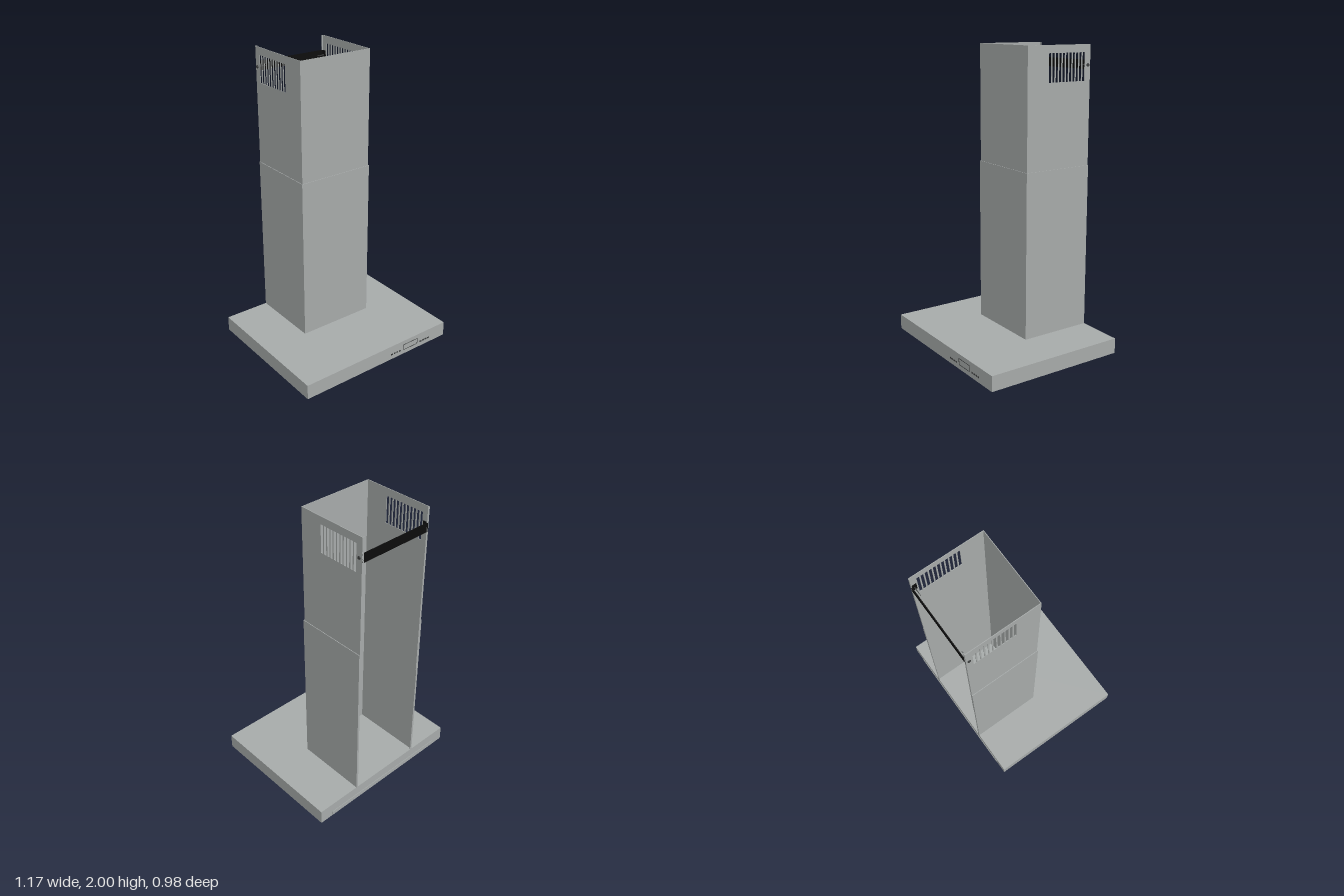
import * as THREE from 'three';

const steel = new THREE.MeshStandardMaterial({ color: 0xa6aaa9 });
steel.name = 'brushed steel';
const filterGrey = new THREE.MeshStandardMaterial({ color: 0x8f9392 });
filterGrey.name = 'filter grey';
const black = new THREE.MeshStandardMaterial({ color: 0x0c0c0c });
black.name = 'black';
const dark = new THREE.MeshStandardMaterial({ color: 0x3c3e3e });
dark.name = 'dark marking';

const BACK = -0.485;

function add(parent, name, geometry, material, x = 0, y = 0, z = 0) {
  const mesh = new THREE.Mesh(geometry, material);
  mesh.name = name;
  mesh.position.set(x, y, z);
  parent.add(mesh);
  return mesh;
}

// Box given by its limits on each axis
function block(parent, name, material, [x0, x1], [y0, y1], [z0, z1]) {
  return add(parent, name, new THREE.BoxGeometry(x1 - x0, y1 - y0, z1 - z0), material,
    (x0 + x1) / 2, (y0 + y1) / 2, (z0 + z1) / 2);
}

// Upright side panel lying in the z-y plane, with optional vent slots
function sidePanel(y0, y1, front, thickness, slots) {
  const shape = new THREE.Shape();
  shape.moveTo(BACK, y0).lineTo(front, y0).lineTo(front, y1).lineTo(BACK, y1).closePath();
  for (let i = 0; i < slots; i++) {
    const z = -0.44 + i * 0.0267;
    const hole = new THREE.Path();
    hole.moveTo(z, 1.77).lineTo(z, 1.95).lineTo(z + 0.018, 1.95).lineTo(z + 0.018, 1.77).closePath();
    shape.holes.push(hole);
  }
  return new THREE.ExtrudeGeometry(shape, { depth: thickness, bevelEnabled: false })
    .rotateY(-Math.PI / 2).translate(thickness / 2, 0, 0);
}

// Three-sided duct cover, open at the back and the top
function duct(name, halfWidth, front, y0, y1, slots) {
  const t = 0.004;
  const group = new THREE.Group();
  group.name = name;
  block(group, 'frontPanel', steel, [-halfWidth, halfWidth], [y0, y1], [front - t, front]);
  for (const s of [-1, 1]) {
    add(group, 'sidePanel', sidePanel(y0, y1, front - t, t, slots), steel, s * (halfWidth - t / 2));
    const edge = [s * (halfWidth - t), s * (halfWidth - 0.014)].sort((a, b) => a - b);
    block(group, 'rearFlange', steel, edge, [y0, y1], [BACK, BACK + t]);
  }
  return group;
}

// Flat rectangular outline made of four strips, facing front
function outline(parent, name, x0, x1, y0, y1, z, w) {
  block(parent, name, dark, [x0, x1], [y1 - w, y1], [z, z + 0.002]);
  block(parent, name, dark, [x0, x1], [y0, y0 + w], [z, z + 0.002]);
  block(parent, name, dark, [x0, x0 + w], [y0, y1], [z, z + 0.002]);
  block(parent, name, dark, [x1 - w, x1], [y0, y1], [z, z + 0.002]);
}

export function createModel() {
  const model = new THREE.Group();
  model.name = 'rangeHood';

  // Canopy with the cover strip on its rear edge
  block(model, 'canopy', steel, [-0.585, 0.585], [0.01, 0.112], [BACK, 0.485]);
  block(model, 'rearStrip', steel, [-0.49, 0.49], [0.014, 0.045], [BACK - 0.003, BACK]);

  // Telescopic chimney
  model.add(duct('lowerChimney', 0.27, 0.012, 0.112, 1.22, 0));
  model.add(duct('upperChimney', 0.265, 0.007, 0.83, 2, 11));

  // Wall bracket and its screws
  const bracket = new THREE.Group();
  bracket.name = 'wallBracket';
  model.add(bracket);
  block(bracket, 'bracketBar', black, [-0.26, 0.26], [1.84, 1.9], [BACK, BACK + 0.005]);
  for (const s of [-1, 1]) {
    const tab = [s * 0.256, s * 0.261].sort((a, b) => a - b);
    block(bracket, 'bracketTab', black, tab, [1.84, 1.9], [BACK, -0.45]);
    const head = add(bracket, 'screwHead', new THREE.CylinderGeometry(0.01, 0.01, 0.006, 16), dark, s * 0.268, 1.87, -0.465);
    head.rotation.z = Math.PI / 2;
    const shank = add(bracket, 'screwShank', new THREE.CylinderGeometry(0.001, 0.004, 0.07, 10), dark, s * 0.231, 1.87, -0.465);
    shank.rotation.z = s * Math.PI / 2;
  }

  // Grease filters with black surround
  const filters = new THREE.Group();
  filters.name = 'filters';
  model.add(filters);
  for (const s of [-1, 1]) {
    const span = [s * 0.01, s * 0.48].sort((a, b) => a - b);
    block(filters, 'filterPanel', filterGrey, span, [0.007, 0.01], [-0.255, 0.4]);
    const rail = [s * 0.48, s * 0.492].sort((a, b) => a - b);
    block(filters, 'frameSide', black, rail, [0.006, 0.01], [-0.265, 0.41]);
  }
  block(filters, 'frameMiddle', black, [-0.015, 0.015], [0.006, 0.01], [-0.255, 0.4]);
  block(filters, 'frameRear', black, [-0.48, 0.48], [0.006, 0.01], [-0.265, -0.255]);
  block(filters, 'frameFront', black, [-0.48, 0.48], [0.006, 0.01], [0.4, 0.41]);
  add(filters, 'filterLatch', new THREE.CylinderGeometry(0.03, 0.03, 0.01, 24), black, 0, 0.005, 0.44);

  // Lamps under the rear
  for (const s of [-1, 1]) {
    add(model, 'lampRing', new THREE.CylinderGeometry(0.058, 0.058, 0.002, 32), dark, s * 0.2, 0.009, -0.385);
    add(model, 'lampLens', new THREE.CylinderGeometry(0.053, 0.053, 0.003, 32), steel, s * 0.2, 0.0085, -0.385);
  }

  // Control panel: display outline and two rows of buttons
  const controls = new THREE.Group();
  controls.name = 'controls';
  model.add(controls);
  outline(controls, 'displayOutline', 0.21, 0.335, 0.04, 0.083, 0.485, 0.003);
  for (const start of [0.1, 0.36]) {
    for (let i = 0; i < 4; i++) {
      const x = start + i * 0.023;
      block(controls, 'button', dark, [x, x + 0.015], [0.042, 0.052], [0.485, 0.487]);
    }
  }
  return model;
}
